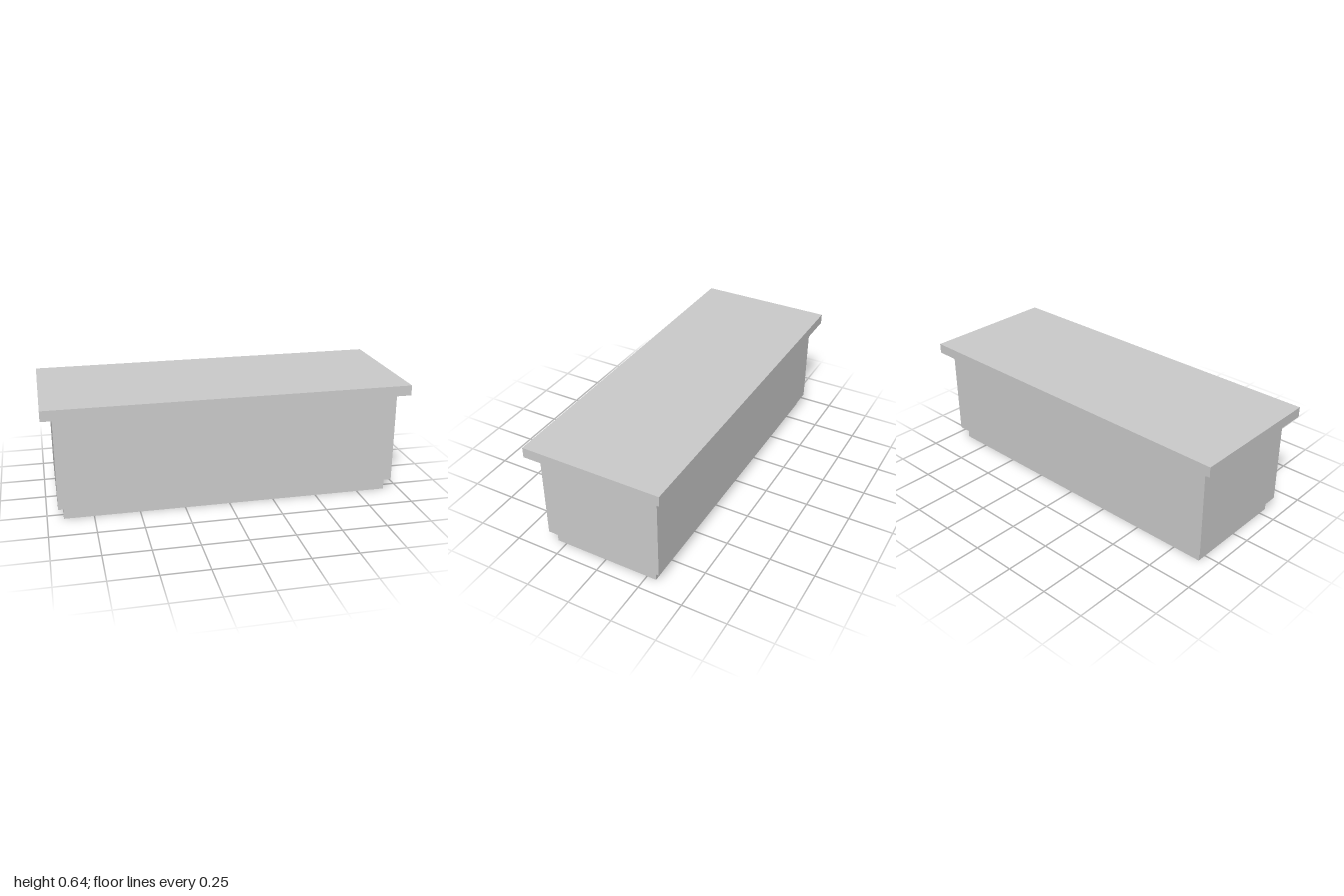
import * as THREE from 'three';

const material = new THREE.MeshStandardMaterial({ color: 0xcccccc, flatShading: true });

// Box spanning bottom to top, centred on x and z
function slab(name, width, depth, bottom, top) {
  const mesh = new THREE.Mesh(new THREE.BoxGeometry(width, top - bottom, depth), material);
  mesh.name = name;
  mesh.position.y = (bottom + top) / 2;
  return mesh;
}

export function createModel() {
  const group = new THREE.Group();
  group.name = 'counter';
  group.add(
    slab('plinth', 1.825, 0.607, 0, 0.071), // recessed base
    slab('body', 1.88, 0.674, 0.071, 0.588), // main block
    slab('top', 2, 0.775, 0.588, 0.645), // overhanging top
  );
  return group;
}
